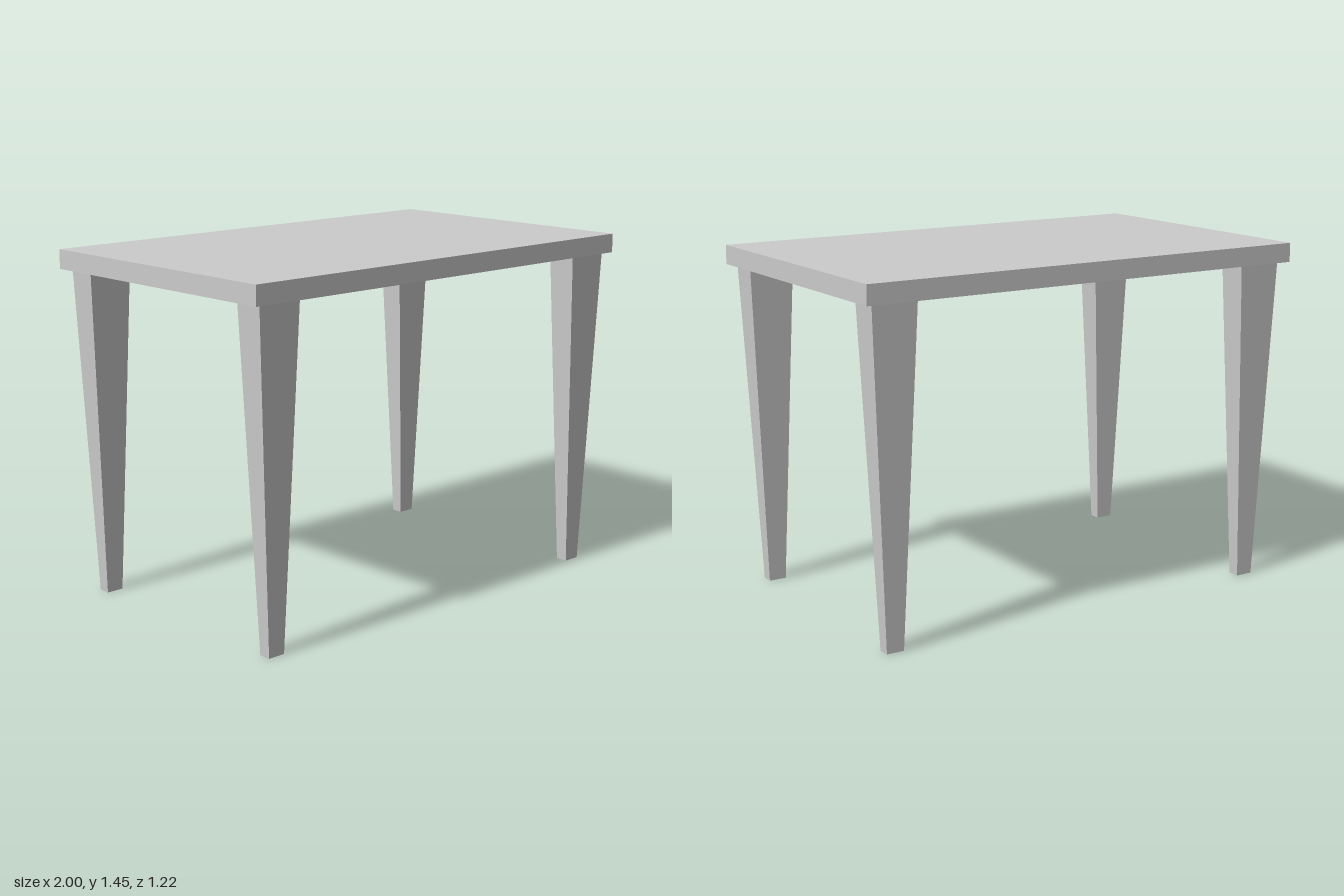
import * as THREE from 'three';

const material = new THREE.MeshStandardMaterial({ color: 0xcccccc, flatShading: true });

const TOP_Y = 1.445, UNDER_Y = 1.365;

// Four-sided leg, widest at the top and narrowing to the foot
function taperedLeg(topW, topD, footW, footD) {
  const geometry = new THREE.BoxGeometry(topW, UNDER_Y, topD);
  geometry.translate(0, UNDER_Y / 2, 0);
  const p = geometry.attributes.position;
  for (let i = 0; i < p.count; i++) {
    if (p.getY(i) < 0.01) {
      p.setX(i, p.getX(i) * footW / topW);
      p.setZ(i, p.getZ(i) * footD / topD);
    }
  }
  geometry.computeVertexNormals();
  return geometry;
}

export function createModel() {
  const table = new THREE.Group();
  table.name = 'table';

  // Flat rectangular slab
  const top = new THREE.Mesh(new THREE.BoxGeometry(2, TOP_Y - UNDER_Y, 1.22), material);
  top.position.y = (TOP_Y + UNDER_Y) / 2;
  top.name = 'tableTop';
  table.add(top);

  // Legs, one inside each corner
  const legGeometry = taperedLeg(0.193, 0.124, 0.075, 0.051);
  for (const [end, z] of [['front', 0.522], ['back', -0.514]]) {
    for (const [side, x] of [['Left', 0.866], ['Right', -0.866]]) {
      const leg = new THREE.Mesh(legGeometry, material);
      leg.position.set(x, 0, z);
      leg.name = `${end}${side}Leg`;
      table.add(leg);
    }
  }
  return table;
}
